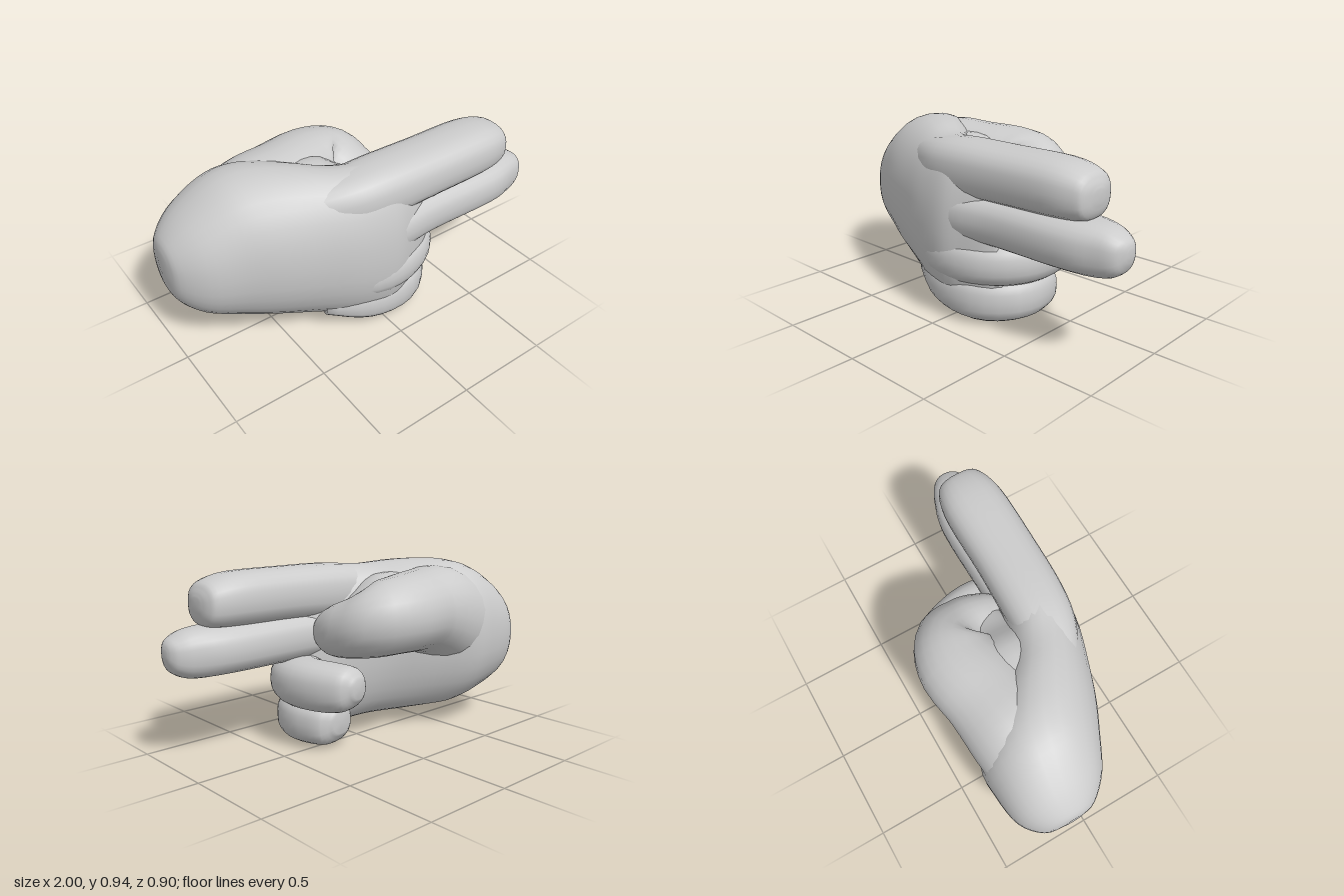
import * as THREE from 'three';

const material = new THREE.MeshStandardMaterial({ color: 0xcccccc });

// Smooth loft along rows of [x, y, z, vertical radius, sideways radius].
// "power" squares off the cross-section; "dir" fixes the section's facing.
function loft(name, rows, { power = 2.4, dir = null, steps = 4, sides = 24 } = {}) {
  const path = new THREE.CatmullRomCurve3(rows.map(r => new THREE.Vector3(r[0], r[1], r[2])), false, 'catmullrom', 0.5);
  const radii = new THREE.CatmullRomCurve3(rows.map(r => new THREE.Vector3(r[3], r[4], 0)), false, 'catmullrom', 0.5);
  const up = new THREE.Vector3(0, 1, 0);
  const count = (rows.length - 1) * steps;
  const pos = [], index = [];
  const round = v => Math.sign(v) * Math.pow(Math.abs(v), 2 / power);
  for (let i = 0; i <= count; i++) {
    const t = i / count;
    const c = path.getPoint(t), r = radii.getPoint(t);
    const T = dir ? dir.clone() : path.getTangent(t).setY(0).normalize();
    const side = new THREE.Vector3().crossVectors(up, T);
    for (let j = 0; j < sides; j++) {
      const a = (j / sides) * Math.PI * 2;
      const p = c.clone().addScaledVector(side, r.y * round(Math.cos(a))).addScaledVector(up, r.x * round(Math.sin(a)));
      pos.push(p.x, p.y, p.z);
    }
  }
  for (let i = 0; i < count; i++) {
    for (let j = 0; j < sides; j++) {
      const k = (j + 1) % sides;
      const a = i * sides + j, b = i * sides + k, c = a + sides, d = b + sides;
      index.push(a, b, c, b, d, c);
    }
  }
  // End caps
  const s = pos.length / 3, e = s + 1, last = count * sides;
  pos.push(...path.getPoint(0).toArray(), ...path.getPoint(1).toArray());
  for (let j = 0; j < sides; j++) {
    const k = (j + 1) % sides;
    index.push(s, k, j, e, last + j, last + k);
  }
  const geometry = new THREE.BufferGeometry();
  geometry.setAttribute('position', new THREE.Float32BufferAttribute(pos, 3));
  geometry.setIndex(index);
  geometry.computeVertexNormals();
  const mesh = new THREE.Mesh(geometry, material);
  mesh.name = name;
  return mesh;
}

// Section given by its limits at one x
const span = (x, y0, y1, z0, z1) => [x, (y0 + y1) / 2, (z0 + z1) / 2, (y1 - y0) / 2, (z1 - z0) / 2];

export function createModel() {
  const hand = new THREE.Group();
  hand.name = 'hand';
  const alongX = new THREE.Vector3(1, 0, 0);

  // Palm, from the rounded wrist to the knuckles
  hand.add(loft('palm', [
    span(-1.0, 0.46, 0.6, -0.17, -0.08),
    span(-0.975, 0.32, 0.67, -0.28, 0.01),
    span(-0.87, 0.21, 0.78, -0.37, 0.12),
    span(-0.7, 0.14, 0.895, -0.4, 0.21),
    span(-0.54, 0.095, 0.935, -0.39, 0.29),
    span(-0.36, 0.07, 0.935, -0.25, 0.36),
    span(-0.18, 0.045, 0.915, -0.08, 0.42),
    span(0.0, 0.015, 0.92, 0.03, 0.445),
    span(0.13, 0.03, 0.9, 0.08, 0.41),
    span(0.23, 0.08, 0.85, 0.12, 0.37),
    span(0.29, 0.18, 0.78, 0.16, 0.33),
  ], { dir: alongX, power: 2.2, sides: 32 }));

  // Thumb, curling round behind the fingers
  hand.add(loft('thumb', [
    [-0.9, 0.52, -0.13, 0.14, 0.14],
    [-0.7, 0.56, -0.12, 0.26, 0.25],
    [-0.5, 0.62, -0.14, 0.285, 0.265],
    [-0.28, 0.675, -0.18, 0.225, 0.245],
    [-0.08, 0.69, -0.23, 0.2, 0.225],
    [0.06, 0.675, -0.2, 0.19, 0.2],
    [0.12, 0.63, -0.1, 0.16, 0.16],
    [0.13, 0.6, 0.02, 0.135, 0.125],
    [0.12, 0.59, 0.1, 0.09, 0.09],
  ], { power: 2.1 }));

  // Web closing the hollow between thumb and fingers
  hand.add(loft('thumbWeb', [
    [-0.42, 0.67, 0.0, 0.2, 0.2],
    [-0.16, 0.685, -0.01, 0.185, 0.19],
    [0.0, 0.635, -0.02, 0.13, 0.16],
    [0.12, 0.61, -0.02, 0.1, 0.12],
  ], { dir: alongX, power: 2.1 }));

  // Two straight fingers
  hand.add(loft('indexFinger', [
    span(-0.42, 0.6, 0.85, 0.05, 0.25),
    span(-0.2, 0.62, 0.9, 0.06, 0.36),
    span(0.0, 0.63, 0.925, 0.07, 0.4),
    span(0.3, 0.65, 0.93, 0.08, 0.41),
    span(0.62, 0.66, 0.93, 0.08, 0.41),
    span(0.77, 0.67, 0.9, 0.11, 0.375),
    span(0.81, 0.7, 0.86, 0.15, 0.34),
    span(0.825, 0.76, 0.82, 0.21, 0.28),
  ], { dir: alongX, power: 2.5 }));
  hand.add(loft('middleFinger', [
    span(-0.3, 0.46, 0.66, 0.1, 0.36),
    span(0.0, 0.43, 0.69, 0.08, 0.43),
    span(0.3, 0.43, 0.69, 0.08, 0.41),
    span(0.7, 0.43, 0.685, 0.08, 0.41),
    span(0.88, 0.435, 0.675, 0.125, 0.37),
    span(0.96, 0.465, 0.645, 0.165, 0.34),
    span(0.99, 0.51, 0.62, 0.2, 0.3),
    span(1.0, 0.55, 0.59, 0.23, 0.27),
  ], { dir: alongX, power: 2.5 }));

  // Two curled fingers, folding back towards the palm
  hand.add(loft('ringFinger', [
    [-0.25, 0.33, 0.24, 0.1, 0.12],
    [-0.02, 0.33, 0.285, 0.135, 0.16],
    [0.17, 0.33, 0.255, 0.13, 0.155],
    [0.27, 0.335, 0.15, 0.13, 0.155],
    [0.305, 0.34, 0.02, 0.13, 0.135],
    [0.275, 0.345, -0.14, 0.125, 0.125],
    [0.245, 0.355, -0.23, 0.105, 0.1],
    [0.235, 0.36, -0.28, 0.05, 0.05],
  ]));
  hand.add(loft('littleFinger', [
    [-0.3, 0.17, 0.2, 0.07, 0.09],
    [-0.08, 0.14, 0.26, 0.115, 0.14],
    [0.12, 0.13, 0.26, 0.13, 0.145],
    [0.22, 0.13, 0.16, 0.13, 0.16],
    [0.235, 0.13, 0.04, 0.125, 0.15],
    [0.21, 0.13, -0.06, 0.11, 0.125],
    [0.2, 0.14, -0.11, 0.06, 0.07],
  ], { power: 2.6 }));

  return hand;
}
